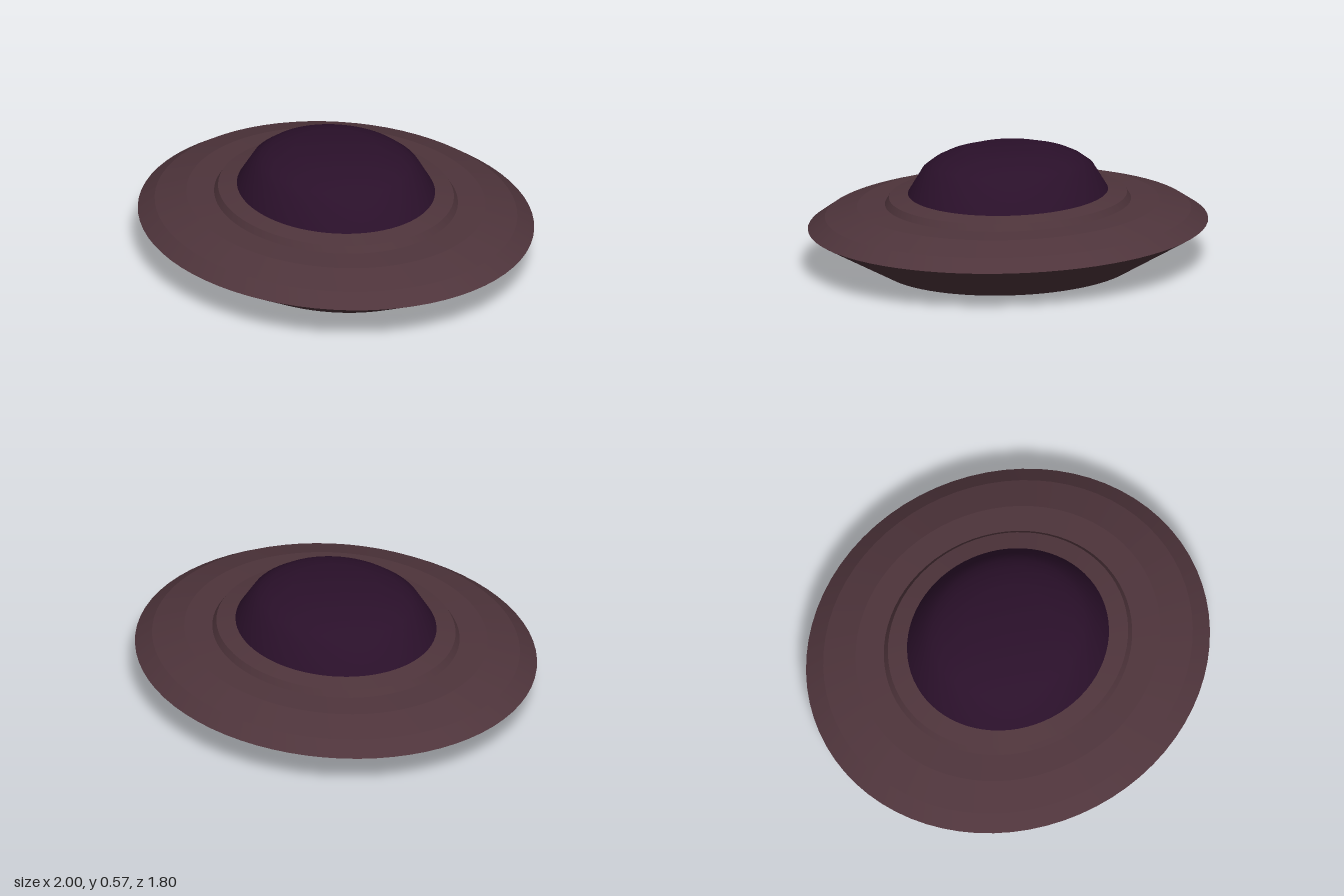
import * as THREE from 'three';
import { toCreasedNormals } from 'three/addons/utils/BufferGeometryUtils.js';

const DEPTH = 0.9; // the saucer is slightly narrower front to back

function material(name, color) {
  const m = new THREE.MeshStandardMaterial({ color });
  m.name = name;
  return m;
}

// Elliptical turned part; profile runs counter-clockwise from the underside to the top
function turned(name, profile, mat, crease) {
  const points = profile.map(([r, y]) => new THREE.Vector2(r, y));
  let geometry = new THREE.LatheGeometry(points, 72);
  geometry.scale(1, 1, DEPTH);
  geometry = toCreasedNormals(geometry, crease);
  const mesh = new THREE.Mesh(geometry, mat);
  mesh.name = name;
  return mesh;
}

export function createModel() {
  const hullBrown = material('hull brown', 0x4e343b);
  const domePlum = material('dome plum', 0x2a102a);
  const glowPurple = material('underside purple', 0x3f103b);

  const model = new THREE.Group();
  model.name = 'flyingSaucer';
  model.add(
    // Outer hull with inner rim wall, sloped belly, stepped top and collar
    turned('hull', [
      [0.633, 0.073], [0.633, 0], [1, 0.2], [0.915, 0.257], [0.755, 0.305],
      [0.615, 0.313], [0.595, 0.345], [0.5, 0.363],
    ], hullBrown, 0.2),
    // Cockpit dome with a flat cap
    turned('dome', [
      [0.5, 0.363], [0.43, 0.476], [0.38, 0.513], [0.33, 0.537], [0.215, 0.57], [0, 0.571],
    ], domePlum, 0.6),
    // Recessed ring under the hull, with bands on both walls
    turned('undersideRing', [
      [0.28, 0.1], [0.28, 0.13], [0.633, 0.13], [0.633, 0.073],
    ], glowPurple, 0.2),
    // Central hub hanging below the ring
    turned('undersideHub', [
      [0, 0.08], [0.28, 0.08], [0.28, 0.1],
    ], hullBrown, 0.2),
  );
  return model;
}
